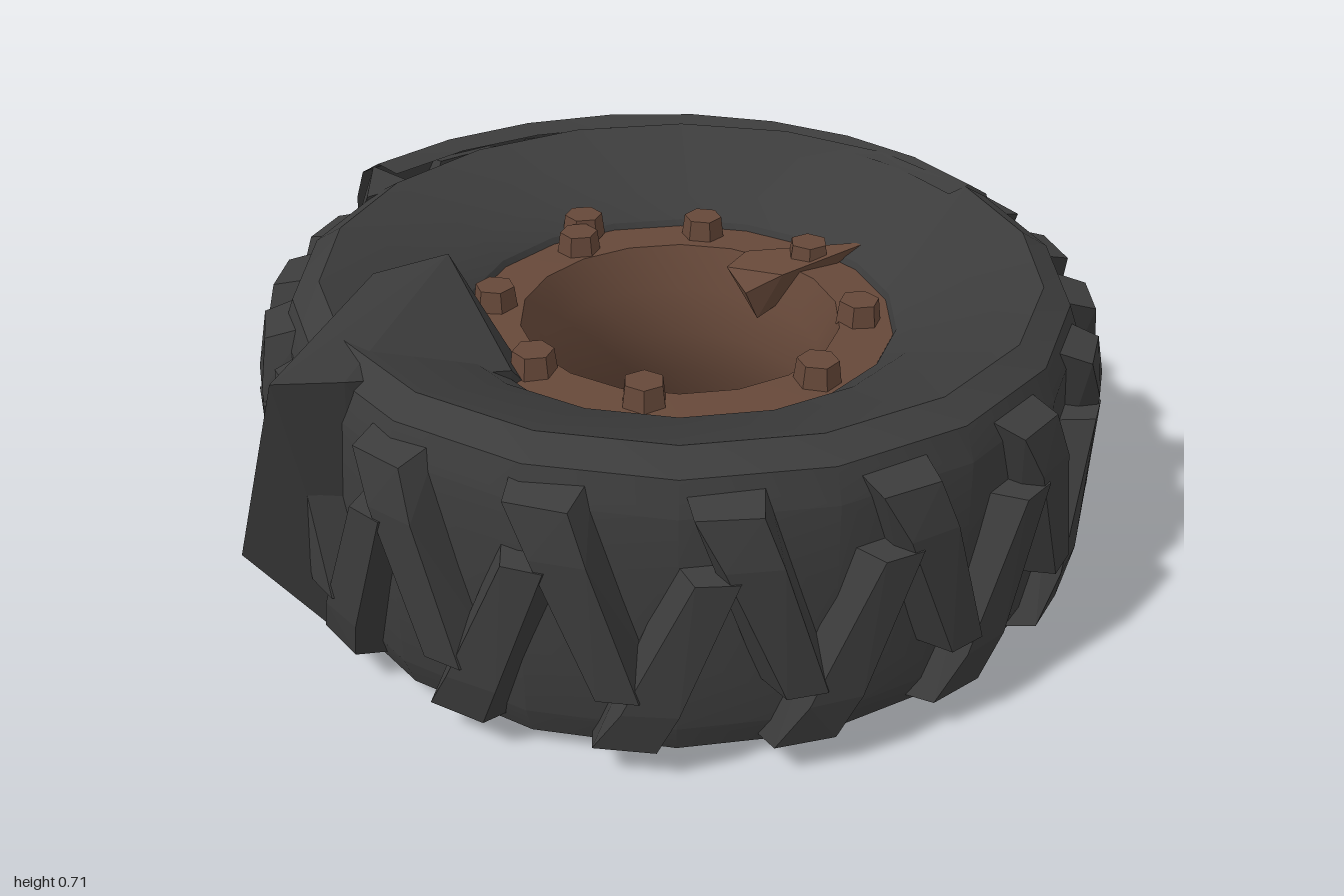
import * as THREE from 'three';
import { toCreasedNormals } from 'three/addons/utils/BufferGeometryUtils.js';
import { ConvexGeometry } from 'three/addons/geometries/ConvexGeometry.js';

const CX = 0.055, CZ = 0.04, H = 0.715;
const DEG = Math.PI / 180;
const TEAR_START = 80 * DEG, TEAR_END = 196 * DEG;

// outward drift of the loosened tread band
const drift = a => (a > TEAR_START && a <= TEAR_END)
  ? 0.1 * (a - TEAR_START) / (TEAR_END - TEAR_START) : 0;

const polar = (r, a, y) => new THREE.Vector3(CX + r * Math.sin(a), y, CZ + r * Math.cos(a));
const hull = points => new ConvexGeometry(points.map(p => new THREE.Vector3(...p)));

// mirrors a lower half profile [r, y] into a full one
function profile(half) {
  const upper = half.map(([r, y]) => [r, H - y]).reverse();
  return half.concat(upper).map(([r, y]) => new THREE.Vector2(r, y));
}

export function createModel() {
  const group = new THREE.Group();
  const rubber = new THREE.MeshStandardMaterial({ color: 0x3c3c3c, side: THREE.DoubleSide });
  rubber.name = 'dark rubber';
  const rust = new THREE.MeshStandardMaterial({ color: 0x664839, side: THREE.DoubleSide });
  rust.name = 'rusty metal';

  function add(name, geo, mat, parent = group) {
    const mesh = new THREE.Mesh(geo, mat);
    mesh.name = name;
    parent.add(mesh);
    return mesh;
  }
  function addGroup(name) {
    const g = new THREE.Group();
    g.name = name;
    group.add(g);
    return g;
  }

  // tyre carcass with dished sidewalls
  const tyre = new THREE.LatheGeometry(profile([
    [0.46, 0.19], [0.485, 0.135], [0.55, 0.088], [0.79, 0.003],
    [0.85, 0.04], [0.876, 0.11], [0.882, 0.3]
  ]), 18);
  tyre.translate(CX, 0, CZ);
  add('tyreBody', toCreasedNormals(tyre, 0.45), rubber);

  // loosened tread band, spiralling away from the carcass
  const band = new THREE.LatheGeometry(profile([
    [0.74, 0.012], [0.8, 0], [0.855, 0.035], [0.882, 0.11], [0.888, 0.3]
  ]), 8, TEAR_START, TEAR_END - TEAR_START);
  const pos = band.attributes.position;
  for (let i = 0; i < pos.count; i++) {
    const x = pos.getX(i), z = pos.getZ(i), r = Math.hypot(x, z);
    let a = Math.atan2(x, z);
    if (a < 0) a += Math.PI * 2;
    const k = (r + drift(Math.min(a, TEAR_END))) / r;
    pos.setXYZ(i, CX + x * k, pos.getY(i), CZ + z * k);
  }
  add('looseTreadBand', toCreasedNormals(band, 0.45), rubber);

  // torn end of the band
  const tornEnd = [];
  for (const y of [0.03, H - 0.03]) {
    tornEnd.push(polar(0.8, 195 * DEG, y), polar(0.95, 194 * DEG, y), polar(0.84, 204 * DEG, y));
  }
  for (const y of [0.17, H - 0.17]) {
    tornEnd.push(polar(1.0, 194 * DEG, y), polar(0.93, 201 * DEG, y));
  }
  add('tornTreadEnd', new ConvexGeometry(tornEnd), rubber);

  // slanted lug from the shoulder end to the middle of the tread
  function lug(aShoulder, yShoulder, aMiddle, yMiddle, d) {
    const pts = [];
    for (const s of [-1, 1]) {
      pts.push(polar(0.82 + d, aShoulder + s * 0.095, yShoulder));
      pts.push(polar(0.86 + d, aMiddle + s * 0.085, yMiddle));
      pts.push(polar(0.915 + d, aShoulder + s * 0.07, yShoulder + (yMiddle - yShoulder) * 0.06));
      pts.push(polar(0.935 + d, aShoulder * 0.7 + aMiddle * 0.3 + s * 0.06,
        yShoulder + (yMiddle - yShoulder) * 0.3));
      pts.push(polar(0.938 + d, aMiddle + s * 0.045, yMiddle));
    }
    return new ConvexGeometry(pts);
  }

  // two interleaved rows, closer together from the loosened band to the fold
  const lugs = addGroup('treadLugs');
  for (let deg = -92; deg < 254; deg += deg > 40 ? 16 : 22.5) {
    const a = deg * DEG;
    const d = Math.min(drift(a), 0.085);
    add('upperLug', lug(a - 0.17, 0.655, a, 0.22, d), rubber, lugs);
    add('lowerLug', lug(a + 0.01, 0.055, a + 0.2, 0.5, d), rubber, lugs);
  }

  // pinched fold crossing the tyre on its right side
  add('pinchedFold', hull([
    [-0.93, 0.715, -0.02], [-0.7, 0.715, -0.17], [-0.52, 0.715, -0.31], [-0.34, 0.715, -0.29],
    [-0.34, 0.6, -0.29], [-0.34, 0.5, 0.05], [-0.42, 0.6, 0.06], [-0.8, 0.7, 0.04],
    [-1, 0.3, -0.1], [-0.85, 0.45, -0.2], [-0.8, 0.01, -0.02], [-0.6, 0.03, -0.22],
    [-0.35, 0.08, -0.2], [-0.31, 0.11, 0.05], [-0.31, 0.2, 0.0], [-0.5, 0.06, 0.08]
  ]), rubber);

  // wheel rim with flared centre hole
  const rim = new THREE.LatheGeometry([
    [0.487, 0.53], [0.485, 0.565], [0.36, 0.57], [0.32, 0.47], [0.297, 0.36],
    [0.32, 0.24], [0.36, 0.142], [0.485, 0.147], [0.487, 0.18]
  ].map(p => new THREE.Vector2(...p)), 18);
  rim.translate(CX, 0, CZ);
  add('wheelRim', toCreasedNormals(rim, 0.6), rust);

  // bent metal tab on the rim
  add('bentRimTab', hull([
    [0.29, 0.53, 0.0], [0.3, 0.565, -0.08], [0.38, 0.575, -0.1], [0.36, 0.575, 0.05],
    [0.59, 0.61, 0.1], [0.45, 0.55, 0.02], [0.33, 0.45, 0.0]
  ]), rust);

  // hexagonal bolts on both faces
  const bolts = addGroup('wheelBolts');
  const boltGeo = toCreasedNormals(new THREE.CylinderGeometry(0.045, 0.052, 0.055, 6), 0.3);
  const spots = [[0.08, -0.37], [0.37, -0.25], [0.47, 0.02], [0.35, 0.31],
    [0.09, 0.45], [-0.25, 0.29], [-0.35, 0.04], [-0.24, -0.26]];
  spots.forEach(([x, z], i) => {
    for (const top of [true, false]) {
      const bolt = add(top ? 'topBolt' : 'bottomBolt', boltGeo, rust, bolts);
      bolt.position.set(x, top ? 0.59 : 0.117, z);
      bolt.rotation.set(top ? 0 : Math.PI, i * 0.7, 0);
    }
  });
  add('strayBolt', boltGeo, rust, bolts).position.set(0.14, 0.597, -0.43);

  return group;
}
